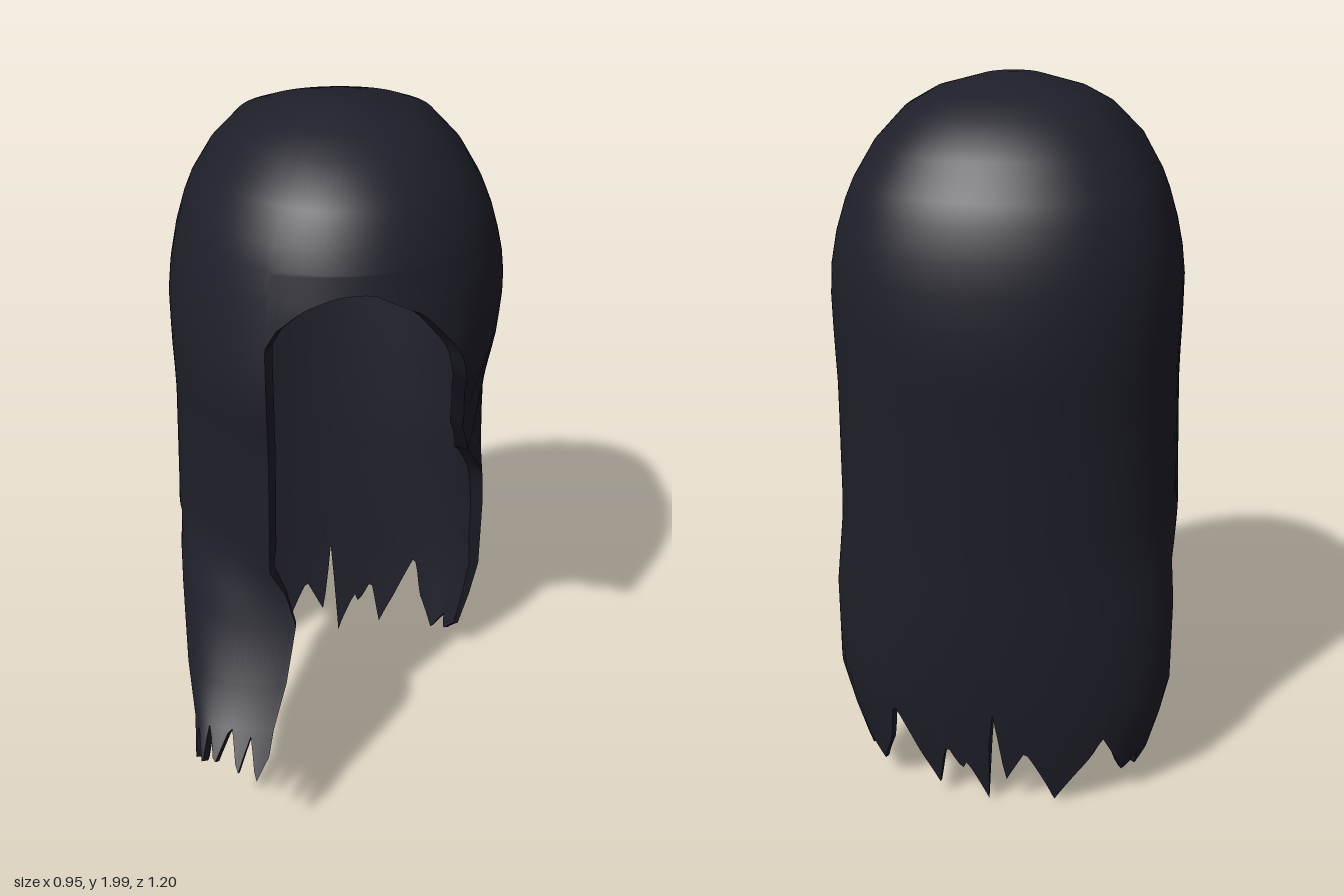
import * as THREE from 'three';
import { mergeVertices } from 'three/addons/utils/BufferGeometryUtils.js';

// piecewise-linear lookup in rows sorted by ascending first value
function lookup(table, v, k = 1) {
  if (v <= table[0][0]) return table[0][k];
  for (let i = 1; i < table.length; i++) {
    const a = table[i - 1], b = table[i];
    if (v <= b[0]) return a[k] + (b[k] - a[k]) * (v - a[0]) / (b[0] - a[0]);
  }
  return table[table.length - 1][k];
}
const lerp = THREE.MathUtils.lerp;

// cross-sections of the hair: height, half width, back z, front z
const sections = [
  [0, 0.37, -0.42, 0.08], [0.15, 0.435, -0.455, 0.165], [0.35, 0.485, -0.49, 0.216],
  [0.6, 0.487, -0.52, 0.3], [0.72, 0.478, -0.53, 0.378], [0.82, 0.468, -0.54, 0.41],
  [1.2, 0.458, -0.58, 0.42], [1.35, 0.462, -0.6, 0.455], [1.5, 0.463, -0.597, 0.42],
  [1.6, 0.447, -0.588, 0.4], [1.7, 0.417, -0.56, 0.375], [1.75, 0.397, -0.535, 0.355],
  [1.84, 0.345, -0.475, 0.31], [1.92, 0.27, -0.4, 0.2], [1.96, 0.2, -0.29, 0.1],
  [1.993, 0.08, -0.18, 0], [2, 0, -0.08, -0.08],
];

// inward tuck of the open edge on the +x side, by angle
const tuck = [[0.7, 0], [1, 0.16], [1.3, 0.22], [1.57, 0.17], [1.7, 0.06], [1.8, 0]];

// point on the hair at angle a (0 = front, positive toward +x), squarer at the back
function shell(a, y) {
  const hx = lookup(sections, y, 1), zb = lookup(sections, y, 2), zf = lookup(sections, y, 3);
  const c = Math.cos(a);
  const cz = c < 0 ? -Math.pow(-c, 0.6) : c;
  return new THREE.Vector3(hx * Math.sin(a), y, (zb + zf) / 2 + (zf - zb) / 2 * cz);
}

// angles where the hair changes from front lock to side, back and open edge
const LOCK = -0.46, SIDE = -1.37, HEM = 1.8, TURN = Math.PI * 2;
const angles = [LOCK];
for (const [from, to, n] of [[LOCK, SIDE, 28], [SIDE, -HEM, 8], [-HEM, HEM - TURN, 100], [HEM - TURN, LOCK - TURN, 36]])
  for (let i = 1; i <= n; i++) angles.push(lerp(from, to, i / n));
const lockEnd = 28, hemStart = 36, hemEnd = 136;

// face opening, running from the front lock round to the +x side
const opening = [
  [-0.46, 1.5], [-0.4, 1.55], [-0.25, 1.61], [-0.1, 1.64], [0, 1.65], [0.15, 1.65], [0.45, 1.58],
  [0.7, 1.45], [1, 1.27], [1.3, 1.08], [1.57, 0.92], [1.62, 0.87], [1.7, 0.8], [1.8, 0.72],
];
// ragged hem at the back: x, y
const hem = [
  [-0.41, 0.16], [-0.385, 0.08], [-0.375, 0.13], [-0.35, 0.09], [-0.33, 0.12], [-0.27, 0.23],
  [-0.255, 0.18], [-0.18, 0.01], [-0.08, 0.19], [-0.03, 0.08], [0.005, 0.36], [0.02, 0],
  [0.075, 0.14], [0.09, 0.11], [0.125, 0.19], [0.17, 0.04], [0.25, 0.3], [0.285, 0.16],
  [0.35, 0.06], [0.37, 0.13], [0.385, 0.08], [0.41, 0.16],
];
// ragged tip of the front lock: position across (0 = inner edge), extra length
const tips = [
  [0, 0.5], [0.08, 1], [0.18, 0.1], [0.26, 0.9], [0.36, -0.1], [0.43, 0.3], [0.52, 0.75],
  [0.6, -0.1], [0.7, 0.85], [0.8, 0], [0.9, 0.8], [1, 0.2],
];
// front lock below the chin: outer edge x y z, inner edge x y z
const lockRows = [
  [-0.463, 0.73, 0.075, -0.165, 0.74, 0.37],
  [-0.46, 0.65, 0.15, -0.14, 0.65, 0.39],
  [-0.45, 0.47, 0.29, -0.17, 0.5, 0.45],
  [-0.43, 0.38, 0.43, -0.21, 0.39, 0.52],
];

function bodyEnd(a) {
  if (a >= SIDE) return 0.81;
  if (a >= -HEM) return lerp(0.81, 0.72, Math.pow((SIDE - a) / (SIDE + HEM), 3));
  if (a >= HEM - TURN) return 0.72;
  return lookup(opening, a + TURN);
}

// adds a grid of columns, each a list of points running downward
function addGrid(out, columns) {
  for (let i = 0; i + 1 < columns.length; i++)
    for (let j = 0; j + 1 < columns[i].length; j++) {
      const a = columns[i][j], b = columns[i + 1][j], c = columns[i + 1][j + 1], d = columns[i][j + 1];
      for (const p of [a, b, c, a, c, d]) out.push(p.x, p.y, p.z);
    }
}

// welds loose triangles into one smooth surface
function weld(points) {
  const loose = new THREE.BufferGeometry();
  loose.setAttribute('position', new THREE.Float32BufferAttribute(points, 3));
  const geometry = mergeVertices(loose, 1e-4);
  geometry.computeVertexNormals();
  return geometry;
}

// inner face of the hair and the rim joining it to the outer face
function lining(outer) {
  const pos = outer.attributes.position, nor = outer.attributes.normal, index = outer.index.array;
  const outside = [], inside = [], edges = new Map(), inner = [], rim = [];
  for (let i = 0; i < pos.count; i++) {
    const p = new THREE.Vector3().fromBufferAttribute(pos, i);
    const thickness = Math.min(0.04, 0.008 + 0.07 * p.y);
    outside.push(p);
    inside.push(new THREE.Vector3().fromBufferAttribute(nor, i).multiplyScalar(-thickness).add(p));
  }
  for (let t = 0; t < index.length; t += 3) {
    const tri = [index[t], index[t + 1], index[t + 2]];
    if (new Set(tri).size < 3) continue;
    for (const k of [0, 2, 1]) inner.push(...inside[tri[k]].toArray());
    for (let k = 0; k < 3; k++) edges.set(tri[k] + '_' + tri[(k + 1) % 3], [tri[k], tri[(k + 1) % 3]]);
  }
  for (const [a, b] of edges.values())
    if (!edges.has(b + '_' + a))
      for (const p of [outside[b], outside[a], inside[a], outside[b], inside[a], inside[b]]) rim.push(...p.toArray());
  return [weld(inner), weld(rim)];
}

export function createModel() {
  const group = new THREE.Group();
  group.name = 'longHair';
  const hairBlack = new THREE.MeshStandardMaterial({ color: 0x1f1f2a, side: THREE.DoubleSide });
  hairBlack.name = 'hairBlack';
  const out = [];

  // rounded crown
  const crownY = sections.filter((s) => s[0] >= 1.7).map((s) => s[0]).reverse();
  addGrid(out, angles.map((a) => crownY.map((y) => shell(a, y))));

  // sides, back and fringe down to the face opening
  const ROWS = 12;
  addGrid(out, angles.map((a) => {
    const pull = a < HEM - TURN ? lookup(tuck, a + TURN) : 0;
    return Array.from({ length: ROWS + 1 }, (_, j) => {
      const t = j / ROWS, p = shell(a, lerp(1.7, bodyEnd(a), t));
      p.x *= 1 - pull * t * t;
      return p;
    });
  }));

  // long back hair with a ragged hem
  addGrid(out, angles.slice(hemStart, hemEnd + 1).map((a) => {
    const end = lookup(hem, 0.41 * Math.sin(a));
    return [0, 0.2, 0.4, 0.6, 0.8, 1].map((t) => shell(a, lerp(0.72, end, t)));
  }));

  // front lock sweeping forward
  addGrid(out, angles.slice(0, lockEnd + 1).map((a, i) => {
    const s = i / lockEnd, sn = Math.sin(s * Math.PI / 2), cs = Math.cos(s * Math.PI / 2);
    const column = [shell(a, bodyEnd(a))];
    for (const [xs, ys, zs, xf, yf, zf] of lockRows)
      column.push(new THREE.Vector3(lerp(xf, xs, sn), lerp(yf, ys, s), lerp(zs, zf, cs)));
    const tip = new THREE.Vector3(-0.03 * (1 - s), -0.12, 0.085).multiplyScalar(lookup(tips, s));
    column.push(tip.add(column[lockRows.length]));
    return column;
  }));

  const outer = weld(out);
  const [inner, rim] = lining(outer);
  for (const [name, geometry] of [['outerHair', outer], ['innerHair', inner], ['hairRim', rim]]) {
    const mesh = new THREE.Mesh(geometry, hairBlack);
    mesh.name = name;
    group.add(mesh);
  }
  return group;
}
